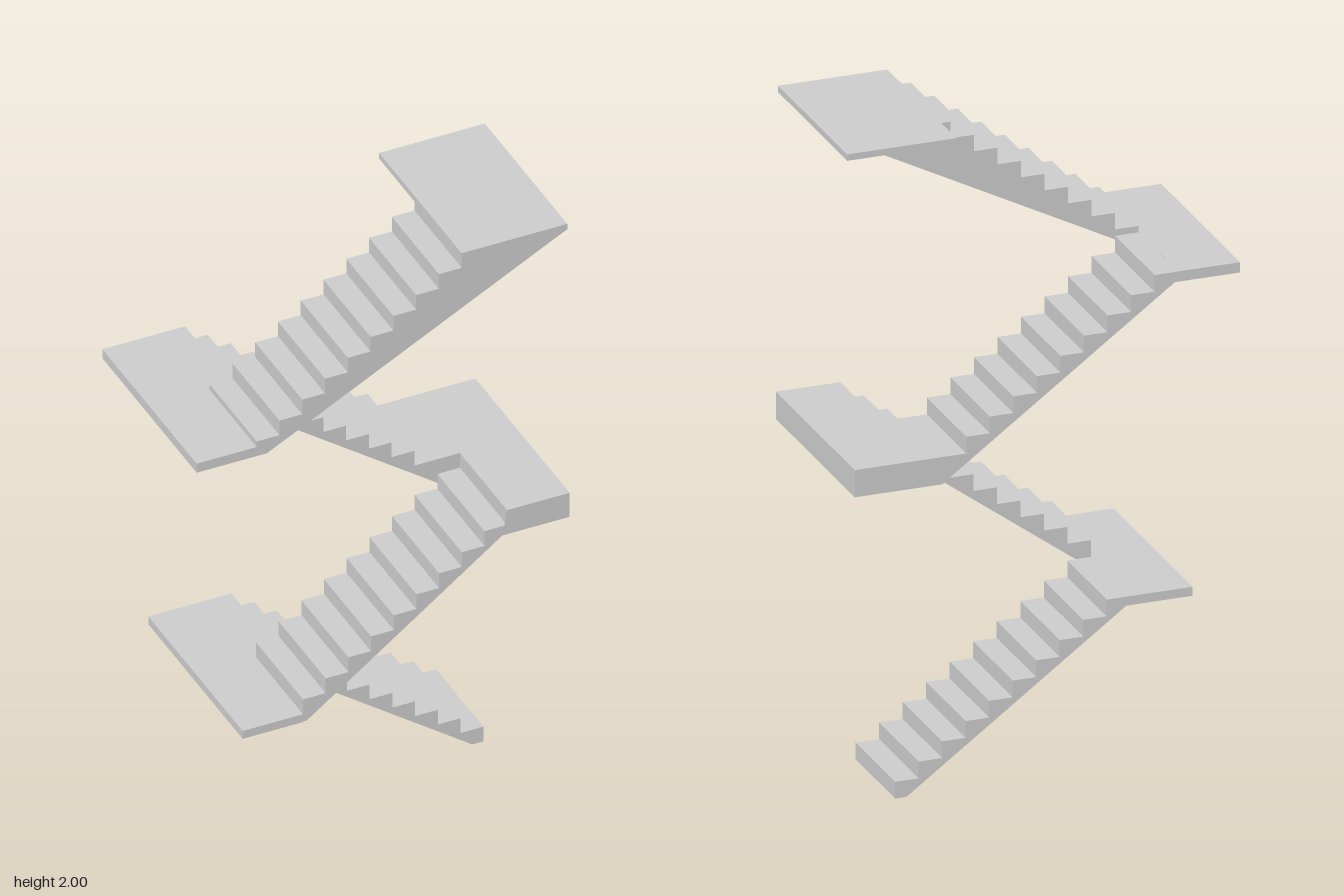
import * as THREE from 'three';

const W = 0.315; // half depth of the stairwell
const mat = new THREE.MeshStandardMaterial({ color: 0xcccccc });
const thin = new THREE.MeshStandardMaterial({ color: 0xcccccc, side: THREE.DoubleSide });

// Stepped line: n risers, each followed by a tread (the last tread is optional)
function steps(x, y, n, run, rise, lastTread) {
  const pts = [[x, y]];
  for (let i = 0; i < n; i++) {
    y += rise;
    pts.push([x, y]);
    if (i < n - 1 || lastTread) {
      x += run;
      pts.push([x, y]);
    }
  }
  return pts;
}

// Sheet made by sweeping a stepped line across the depth
function stepSheet(line, z0, z1) {
  const v = [];
  for (let i = 0; i < line.length - 1; i++) {
    const [px, py] = line[i], [qx, qy] = line[i + 1];
    v.push(px, py, z0, px, py, z1, qx, qy, z1, px, py, z0, qx, qy, z1, qx, qy, z0);
  }
  return trianglesFrom(v);
}

function trianglesFrom(v) {
  const g = new THREE.BufferGeometry();
  g.setAttribute('position', new THREE.Float32BufferAttribute(v, 3));
  g.computeVertexNormals();
  return g;
}

function add(parent, name, geometry, material) {
  const m = new THREE.Mesh(geometry, material);
  m.name = name;
  parent.add(m);
  return m;
}

// Flight, open underneath: treads and risers between two thin side walls
function flight(name, line, underside, z0, z1, dir) {
  const g = new THREE.Group();
  g.name = name;
  add(g, 'treadsAndRisers', dir > 0 ? stepSheet(line, z0, z1) : stepSheet(line, z1, z0), thin);
  const shape = new THREE.Shape([...line, ...underside].map(p => new THREE.Vector2(...p)));
  add(g, 'backSideWall', new THREE.ShapeGeometry(shape), thin).position.z = z0;
  add(g, 'frontSideWall', new THREE.ShapeGeometry(shape), thin).position.z = z1;
  return g;
}

function slab(parent, name, x0, x1, y0, y1, z0 = -W, z1 = W) {
  const m = add(parent, name, new THREE.BoxGeometry(x1 - x0, y1 - y0, z1 - z0), mat);
  m.position.set((x0 + x1) / 2, (y0 + y1) / 2, (z0 + z1) / 2);
}

export function createModel() {
  const model = new THREE.Group();
  model.name = 'staircase';

  // Landings
  slab(model, 'lowerLanding', -0.45, -0.257, 0.495, 0.523);
  slab(model, 'middleLanding', 0.395, 0.595, 0.96, 1.045);
  slab(model, 'upperLanding', -0.597, -0.405, 1.483, 1.515);
  slab(model, 'topPlatform', 0.25, 0.588, 1.98, 2, -0.237, W);

  // Four flights, alternating between the back and the front half
  model.add(flight('firstFlight',
    steps(0.47, 0, 10, -0.0727, 0.0523, true),
    [[-0.257, 0.495], [-0.245, 0.495], [0.435, 0]], -W, 0, -1));

  const second = flight('secondFlight',
    steps(-0.257, 0.523, 10, 0.0725, 0.0522, false),
    [[0.395, 0.96], [0.38, 0.96], [-0.245, 0.497], [-0.257, 0.497]], 0, W, 1);
  // Diagonal half soffit
  add(second, 'soffit', trianglesFrom([
    0.38, 0.96, 0, 0.38, 0.96, W, -0.225, 0.52, 0]), thin);
  model.add(second);

  model.add(flight('thirdFlight',
    [[0.395, 1.045], ...steps(0.25, 1.045, 9, -0.0728, 0.0522, true)],
    [[-0.405, 1.483], [-0.395, 1.483], [0.325, 0.96], [0.395, 0.96]], -W, 0, -1));

  model.add(flight('fourthFlight',
    steps(-0.405, 1.483, 10, 0.0728, 0.0517, false),
    [[0.585, 2], [0.585, 1.98], [-0.372, 1.483]], 0, W, 1));

  return model;
}
